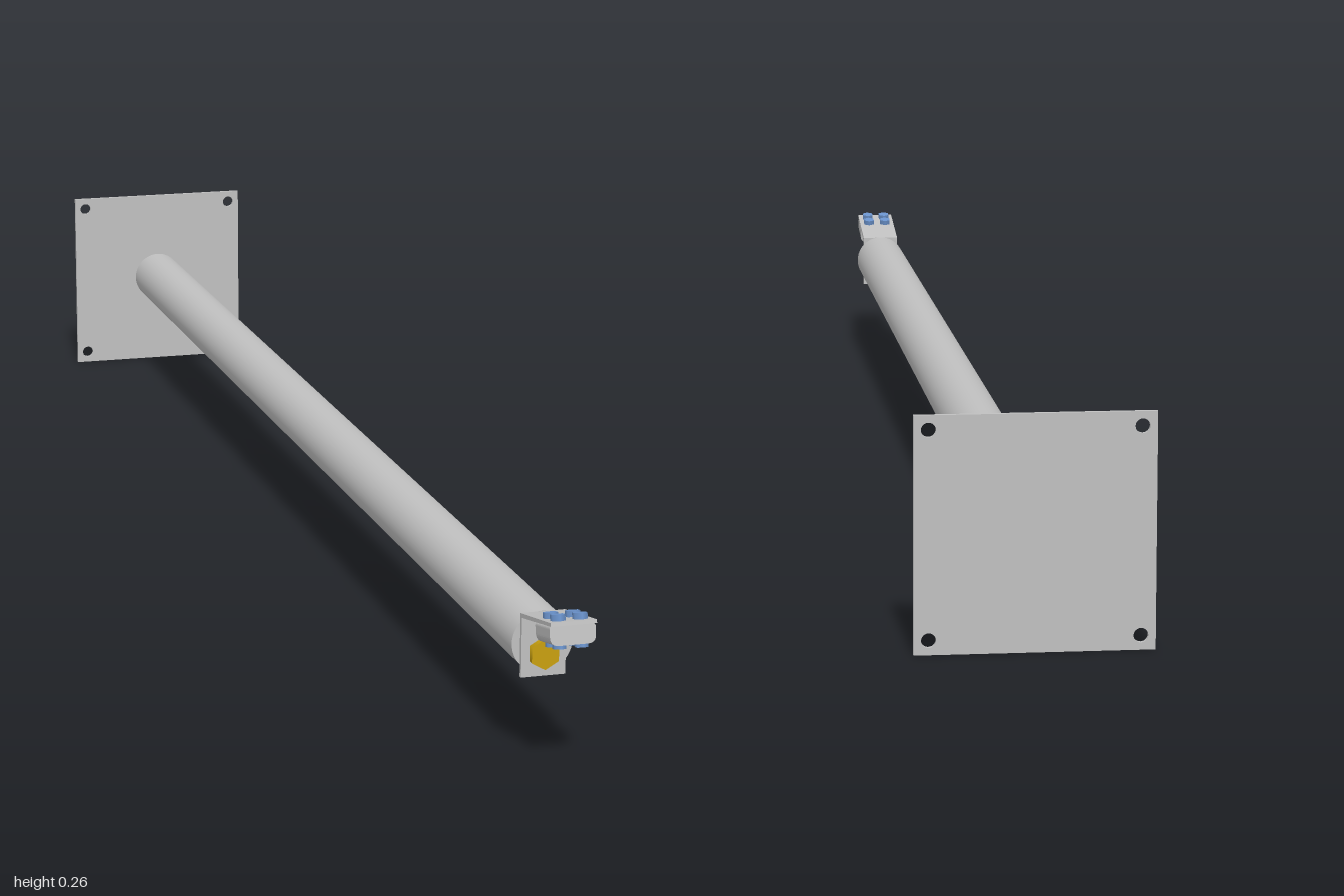
import * as THREE from 'three';

const mat = (name, color) => {
  const m = new THREE.MeshStandardMaterial({ color });
  m.name = name;
  return m;
};

export function createModel() {
  const model = new THREE.Group();
  model.name = 'wallArm';
  const steel = mat('steel', 0xc0c0c0);
  const brass = mat('brass', 0xc8a010);
  const blue = mat('blueZinc', 0x6b93cc);

  const add = (parent, name, geometry, material, x = 0, y = 0, z = 0) => {
    const mesh = new THREE.Mesh(geometry, material);
    mesh.name = name;
    mesh.position.set(x, y, z);
    parent.add(mesh);
    return mesh;
  };
  const extrude = (shape, depth) =>
    new THREE.ExtrudeGeometry(shape, { depth, bevelEnabled: false, curveSegments: 12 });

  // Square wall plate with four corner holes
  const h = 0.13, hole = 0.114;
  const square = new THREE.Shape([[-h, -h], [h, -h], [h, h], [-h, h]].map(p => new THREE.Vector2(...p)));
  for (const sx of [-1, 1]) for (const sy of [-1, 1])
    square.holes.push(new THREE.Path().absarc(sx * hole, sy * hole, 0.008, 0, Math.PI * 2, true));
  add(model, 'wallPlate', extrude(square, 0.005), steel, 0, h, -1);

  // Long round arm
  const arm = new THREE.CylinderGeometry(0.0355, 0.0355, 1.89, 48).rotateX(Math.PI / 2);
  add(model, 'armTube', arm, steel, 0, 0.131, -0.05);

  // Bent strap: upright leg on the arm's end, then a rising tongue (profile in z, y)
  const strap = new THREE.Shape([
    [0.895, 0.093], [0.9, 0.093], [0.9, 0.162], [1, 0.183], [0.999, 0.187], [0.895, 0.166],
  ].map(p => new THREE.Vector2(...p)));
  const strapGeo = extrude(strap, 0.052).translate(0, 0, -0.026).rotateY(-Math.PI / 2);
  add(model, 'strap', strapGeo, steel);

  // Hexagonal bolt fixing the strap to the arm
  const hex = (r, len) => new THREE.CylinderGeometry(r, r, len, 6);
  add(model, 'strapBoltHead', hex(0.018, 0.008).rotateX(Math.PI / 2), brass, 0, 0.12, 0.904)
    .material.flatShading = false;
  add(model, 'boltSeat', new THREE.CylinderGeometry(0.012, 0.012, 0.006, 24).rotateX(Math.PI / 2),
    steel, 0, 0.12, 0.893);

  // Clamp hanging under the tongue, tilted with it
  const clamp = new THREE.Group();
  clamp.name = 'clamp';
  clamp.position.set(0, 0.1785, 0.973);
  clamp.rotation.x = -0.207;
  model.add(clamp);
  const w = 0.026, top = -0.001, bottom = -0.023, r = 0.01;
  const jaw = new THREE.Shape();
  jaw.moveTo(-w + 0.004, top);
  jaw.quadraticCurveTo(-w, top, -w, top - 0.004);
  jaw.lineTo(-w, bottom + r);
  jaw.quadraticCurveTo(-w, bottom, -w + r, bottom);
  jaw.lineTo(w - r, bottom);
  jaw.quadraticCurveTo(w, bottom, w, bottom + r);
  jaw.lineTo(w, top - 0.004);
  jaw.quadraticCurveTo(w, top, w - 0.004, top);
  add(clamp, 'clampJaw', extrude(jaw, 0.048), steel, 0, 0, -0.026);

  // Four clamp bolts: hex heads above, nuts below
  for (const x of [-0.0125, 0.0125]) for (const z of [-0.013, 0.011]) {
    add(clamp, 'clampBoltHead', hex(0.0085, 0.007), blue, x, 0.0065, z);
    add(clamp, 'clampNut', hex(0.0075, 0.005), blue, x, bottom - 0.002, z);
  }
  return model;
}
